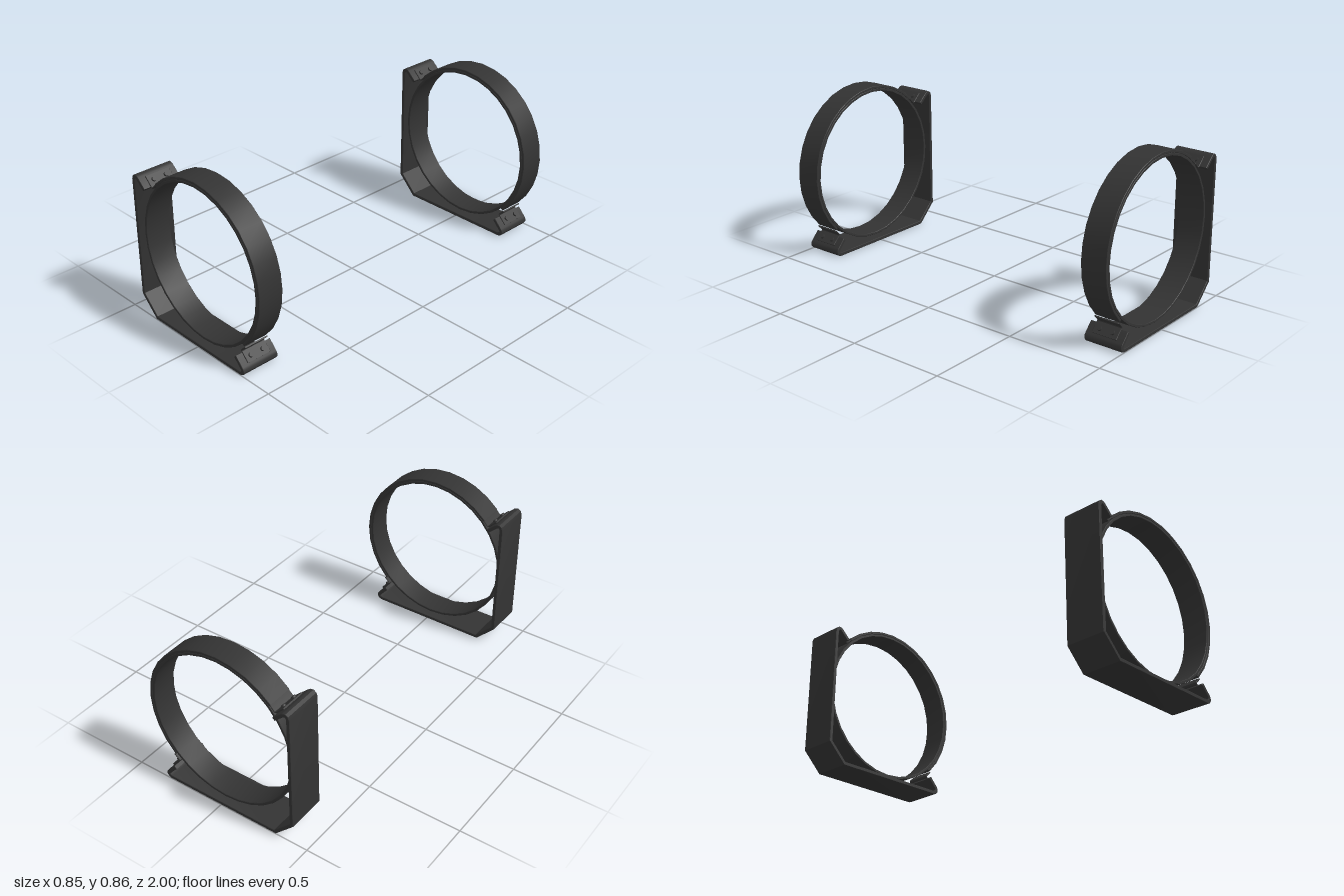
import * as THREE from 'three';
import { toCreasedNormals } from 'three/addons/utils/BufferGeometryUtils.js';

const CY = 0.434; // height of the ring centre
const BEVEL = 0.002;
const material = new THREE.MeshStandardMaterial({ color: 0x333333 });

// Extrude a shape along z, centred on z = 0
function slab(shape, width, name) {
  let geo = new THREE.ExtrudeGeometry(shape, {
    depth: width - 2 * BEVEL, bevelEnabled: true, bevelSize: BEVEL,
    bevelThickness: BEVEL, bevelOffset: -BEVEL, bevelSegments: 1, curveSegments: 1,
  });
  geo.translate(0, 0, -width / 2 + BEVEL);
  geo = toCreasedNormals(geo, 0.5);
  const mesh = new THREE.Mesh(geo, material);
  mesh.name = name;
  return mesh;
}

// Give a centreline a thickness, with mitred corners
function strip(points, thickness) {
  const sides = [[], []];
  points.forEach((p, i) => {
    const a = p.clone().sub(points[Math.max(i - 1, 0)]).normalize();
    const b = points[Math.min(i + 1, points.length - 1)].clone().sub(p).normalize();
    const t = a.clone().add(b).normalize();
    const cos = Math.max(t.dot(i === 0 ? b : a), 0.5);
    const n = new THREE.Vector2(-t.y, t.x).multiplyScalar(thickness / 2 / cos);
    sides[0].push(p.clone().add(n));
    sides[1].push(p.clone().sub(n));
  });
  return new THREE.Shape([...sides[0], ...sides[1].reverse()]);
}

const pts = (list) => list.map(([x, y]) => new THREE.Vector2(x, y));
// Mirror across the diagonal, from the upper left end to the lower right end
const mirror = (p) => new THREE.Vector2(p.y - CY + 0.01, p.x - 0.01 + CY);
const polar = (r, deg) => {
  const a = THREE.MathUtils.degToRad(deg);
  return new THREE.Vector2(r * Math.cos(a), CY + r * Math.sin(a));
};
const circle = (r) => Array.from({ length: 32 }, (_, i) => polar(r, i * 11.25));

function createClamp() {
  const clamp = new THREE.Group();

  // Bent bracket with a folded lip at each end
  const half = pts([[-0.338, 0.698], [-0.384, 0.741], [-0.392, 0.746], [-0.401, 0.747],
    [-0.41, 0.741], [-0.415, 0.728], [-0.415, 0.106]]);
  const path = [...half, ...half.map(mirror).reverse()];
  clamp.add(slab(strip(path, 0.018), 0.203, 'bracket'));

  // Full inner liner ring
  const liner = new THREE.Shape(circle(0.408));
  liner.holes.push(new THREE.Path(circle(0.394)));
  clamp.add(slab(liner, 0.134, 'linerRing'));

  // Outer strap over the free half of the ring
  const arc = Array.from({ length: 17 }, (_, i) => polar(0.415, -45 + i * 11.25));
  clamp.add(slab(strip(arc, 0.014), 0.134, 'strap'));

  // Strap tabs folded onto the bracket lips
  const tab = pts([[-0.291, 0.73], [-0.314, 0.706], [-0.319, 0.7025], [-0.325, 0.704], [-0.368, 0.746]]);
  clamp.add(slab(strip(tab, 0.007), 0.134, 'upperTab'));
  clamp.add(slab(strip(tab.map(mirror), 0.007), 0.134, 'lowerTab'));

  // Two rivets through each tab
  const seat = new THREE.Vector2(-0.346, 0.73);
  for (const p of [seat, mirror(seat)]) {
    for (const z of [-0.035, 0.035]) {
      const rivet = new THREE.Mesh(new THREE.CylinderGeometry(0.011, 0.013, 0.016, 16), material);
      rivet.name = 'rivet';
      rivet.position.set(p.x, p.y, z);
      rivet.rotation.z = -Math.PI / 4;
      clamp.add(rivet);
    }
  }
  return clamp;
}

export function createModel() {
  const model = new THREE.Group();
  model.name = 'ringClamps';
  // Matching clamps at front and back
  for (const [name, z] of [['frontClamp', 0.8985], ['backClamp', -0.8985]]) {
    const clamp = createClamp();
    clamp.name = name;
    clamp.position.z = z;
    model.add(clamp);
  }
  return model;
}
